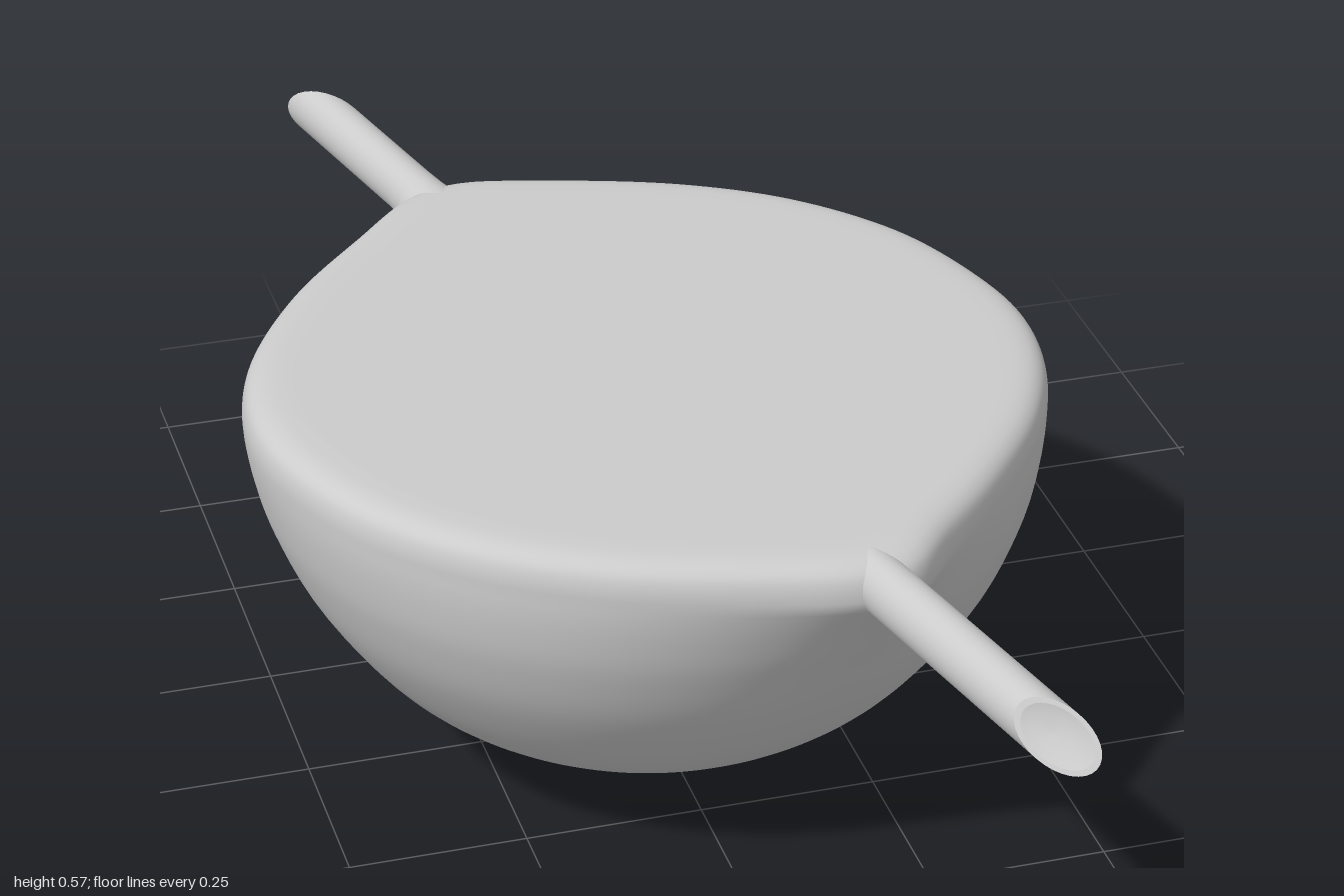
import * as THREE from 'three';

const material = new THREE.MeshStandardMaterial({ color: 0xcccccc, side: THREE.DoubleSide });

// Skin a list of closed rings (arrays of Vector3) into one smooth surface.
function loft(rings, name) {
  const n = rings[0].length, pos = [], index = [];
  rings.forEach(ring => ring.forEach(p => pos.push(p.x, p.y, p.z)));
  for (let i = 0; i < rings.length - 1; i++) {
    for (let j = 0; j < n; j++) {
      const k = (j + 1) % n;
      const a = i * n + j, b = i * n + k, c = a + n, d = b + n;
      index.push(a, c, b, b, c, d);
    }
  }
  const geo = new THREE.BufferGeometry();
  geo.setAttribute('position', new THREE.Float32BufferAttribute(pos, 3));
  geo.setIndex(index);
  geo.computeVertexNormals();
  const mesh = new THREE.Mesh(geo, material);
  mesh.name = name;
  return mesh;
}

// Bowl body: round at the base, pinched towards both spouts at the rim.
function makeBowl() {
  const outline = new THREE.CatmullRomCurve3([
    [-0.12, -0.64], [0, -0.615], [0.2, -0.545], [0.35, -0.45], [0.47, -0.31], [0.535, -0.15],
    [0.556, -0.03], [0.54, 0.1], [0.48, 0.24], [0.37, 0.385], [0.27, 0.49], [0.19, 0.575],
    [0.12, 0.585], [0, 0.56], [-0.2, 0.49], [-0.35, 0.395], [-0.47, 0.26], [-0.54, 0.1],
    [-0.558, -0.03], [-0.53, -0.18], [-0.43, -0.36], [-0.3, -0.51], [-0.19, -0.62],
  ].map(([x, z]) => new THREE.Vector3(x, 0, z)), true).getSpacedPoints(160).slice(0, -1);

  // Profile as (fraction of the full width, height).
  const profile = new THREE.SplineCurve([
    [0.001, 0], [0.17, 0.007], [0.36, 0.04], [0.55, 0.093], [0.72, 0.168], [0.87, 0.283],
    [0.95, 0.38], [0.985, 0.45], [1, 0.51], [0.993, 0.543], [0.97, 0.56], [0.93, 0.568],
    [0.87, 0.57],
  ].map(([s, y]) => new THREE.Vector2(s, y))).getPoints(60);
  profile.push(new THREE.Vector2(0.5, 0.57), new THREE.Vector2(0.001, 0.57));

  const centre = new THREE.Vector3(0, 0, -0.02);
  const rings = profile.map(({ x: s, y }) => {
    const blend = Math.pow(THREE.MathUtils.clamp((y - 0.22) / 0.29, 0, 1), 2.5);
    return outline.map(p => {
      const rim = p.clone().sub(centre);
      const round = rim.clone().setLength(0.557);
      const q = round.lerp(rim, blend).multiplyScalar(s).add(centre);
      q.y = y;
      return q;
    });
  });
  return loft(rings, 'bowl');
}

// Spout along +z with an obliquely cut, slightly scooped end.
// root: [distance, flare] rings; cut: [mean length, sideways slant, vertical slant].
function makeSpout(name, root, cut, scoop) {
  const sides = 32, rx = 0.037, ry = 0.04;
  const ring = (zAt, scale, flare = 1) => Array.from({ length: sides }, (_, j) => {
    const a = j / sides * Math.PI * 2, c = Math.cos(a), s = -Math.sin(a);
    const z = zAt(c * scale, s * scale);
    return new THREE.Vector3(
      0.01 + 0.24 * z + c * rx * scale * flare,
      0.529 - ry * (flare - 1) + s * ry * scale * flare, z);
  });
  const end = (c, s) => cut[0] + cut[1] * c + cut[2] * s;
  const rings = root.map(([z, flare]) => ring(() => z, 1, flare));
  // The doubled rings keep the lip edges sharp.
  rings.push(ring(end, 1), ring(end, 1), ring(end, 0.85), ring(end, 0.85));
  rings.push(ring((c, s) => end(c, s) - scoop * 0.8, 0.5));
  rings.push(ring((c, s) => end(c, s) - scoop, 0.01));
  return loft(rings, name);
}

export function createModel() {
  const group = new THREE.Group();
  group.name = 'spoutedBowl';
  group.add(makeBowl());

  group.add(makeSpout('frontSpout', [[0.52, 1], [0.6, 1], [0.88, 1]], [0.96, 0.03, -0.03], 0.01));

  // The back spout flares where it grows out of the bowl.
  const back = makeSpout('backSpout',
    [[0.52, 1.6], [0.58, 1.5], [0.61, 1.25], [0.64, 1.08], [0.68, 1], [0.86, 1]],
    [0.95, 0.05, 0], 0.05);
  back.rotation.y = Math.PI;
  group.add(back);
  return group;
}
